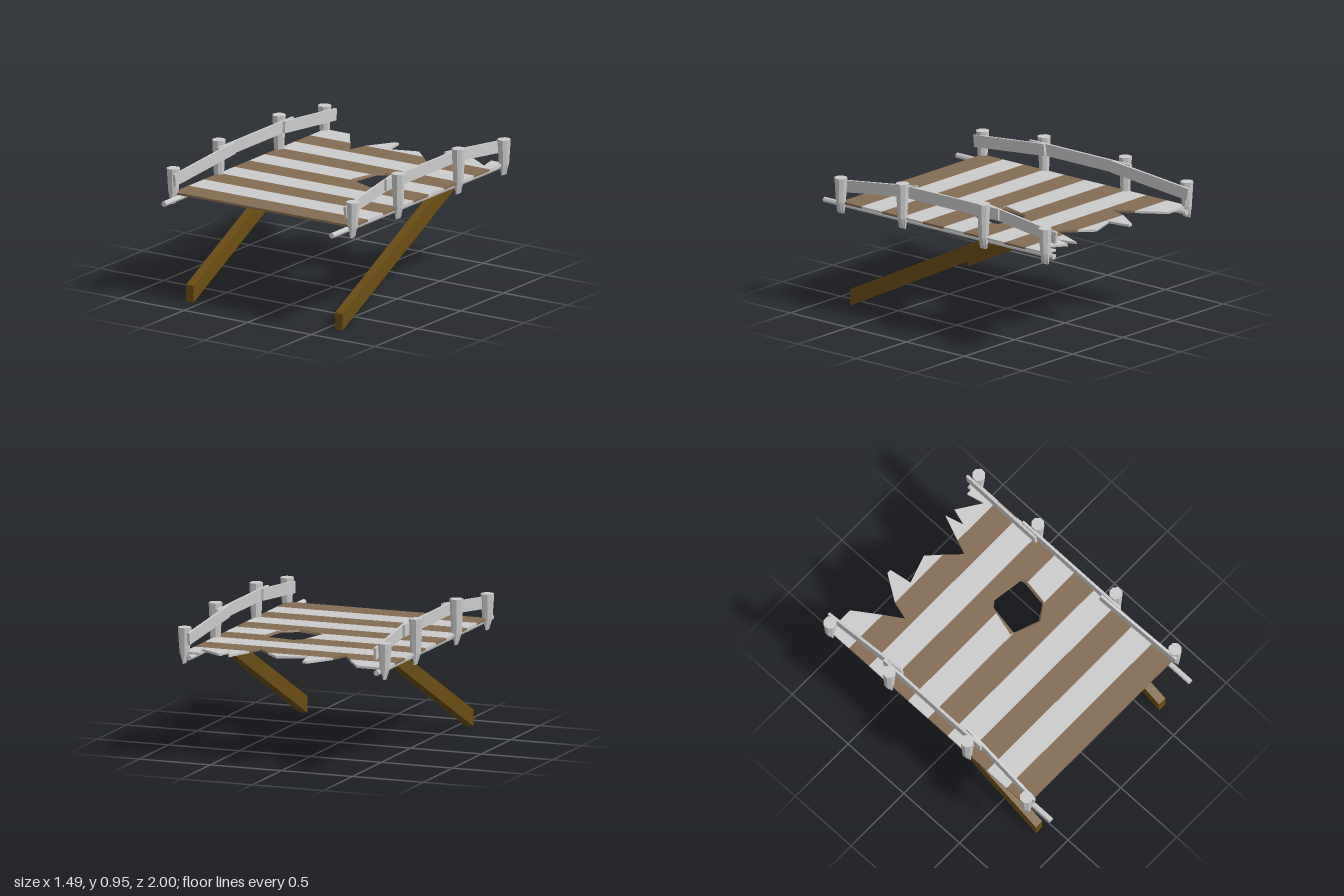
import * as THREE from 'three';

const mat = (color, side = THREE.FrontSide) =>
  new THREE.MeshStandardMaterial({ color, flatShading: true, side });

export function createModel() {
  const group = new THREE.Group();
  const grey = mat(0xcccccc);
  const brown = mat(0x856c52);
  const darkWood = mat(0x6b4d14);
  const add = (name, geometry, material) => {
    const mesh = new THREE.Mesh(geometry, material);
    mesh.name = name;
    group.add(mesh);
    return mesh;
  };

  // Deck planks: flat outlines in (x, z), extruded upward
  const W = 0.705, Y0 = 0.712, Y1 = 0.727;
  const z = Array.from({ length: 11 }, (_, i) => 0.82 - i * 0.1765);
  const plank = (i, points) => {
    const shape = new THREE.Shape(points.map(([x, pz]) => new THREE.Vector2(x, -pz)));
    const geo = new THREE.ExtrudeGeometry(shape, { depth: Y1 - Y0, bevelEnabled: false });
    geo.rotateX(-Math.PI / 2).translate(0, Y0, 0);
    add('deckPlank' + (i + 1), geo, i % 2 ? grey : brown);
  };
  // Whole planks
  for (const i of [0, 1, 2, 3, 7]) {
    plank(i, [[-W, z[i]], [W, z[i]], [W, z[i + 1]], [-W, z[i + 1]]]);
  }
  // Planks cut by the hole
  plank(4, [[-W, z[4]], [W, z[4]], [W, z[5]], [0.386, z[5]], [0.285, 0.01], [0.11, z[5]], [-W, z[5]]]);
  plank(5, [[-W, z[5]], [0.11, z[5]], [0.085, -0.07], [0.131, z[6]], [-W, z[6]]]);
  plank(5, [[W, z[5]], [W, z[6]], [0.426, z[6]], [0.4, -0.07], [0.386, z[5]]]);
  plank(6, [[-W, z[6]], [0.131, z[6]], [0.145, -0.285], [0.19, -0.32], [0.415, -0.29],
    [0.43, -0.265], [0.426, z[6]], [W, z[6]], [W, z[7]], [-W, z[7]]]);
  // Broken end
  plank(8, [[-W, z[8]], [W, z[8]], [W, z[9]], [0.323, z[9]], [0.285, -0.67], [0.187, z[9]],
    [-0.27, z[9]], [-0.305, -0.645], [-0.387, z[9]], [-W, z[9]]]);
  plank(9, [[-W, z[9]], [-0.387, z[9]], [-0.51, z[10]], [-W, z[10]]]);
  plank(9, [[-0.27, z[9]], [0.187, z[9]], [0.095, -0.855], [-0.1, -0.79], [-0.125, z[10]], [-0.155, z[10]]]);
  plank(9, [[0.323, z[9]], [W, z[9]], [W, z[10]], [0.6, z[10]], [0.63, -0.82], [0.465, -0.93],
    [0.43, -0.815], [0.395, z[10]]]);

  // Sloping rim of the hole
  const outer = [[0.085, -0.07], [0.145, -0.285], [0.19, -0.32], [0.415, -0.29], [0.43, -0.265], [0.4, -0.07], [0.285, 0.01]];
  const inner = [[0.113, -0.065], [0.15, -0.28], [0.19, -0.312], [0.402, -0.281], [0.412, -0.255], [0.386, -0.07], [0.285, -0.005]];
  const pos = [], idx = [];
  outer.forEach(([x, oz], i) => {
    const j = (i + 1) % outer.length;
    pos.push(x, Y1, oz, inner[i][0], Y0, inner[i][1]);
    idx.push(2 * i, 2 * j, 2 * i + 1, 2 * j, 2 * j + 1, 2 * i + 1);
  });
  const rim = new THREE.BufferGeometry();
  rim.setAttribute('position', new THREE.Float32BufferAttribute(pos, 3));
  rim.setIndex(idx);
  rim.computeVertexNormals();
  add('holeRim', rim, mat(0x856c52, THREE.DoubleSide));

  // Tapered eight-sided post whose foot is cut to a wedge
  const postGeometry = (top) => {
    const geo = new THREE.CylinderGeometry(1, 1, 2, 8, 2);
    geo.rotateY(Math.PI / 8);
    const p = geo.attributes.position;
    for (let i = 0; i < p.count; i++) {
      const level = Math.round(p.getY(i)) + 1;
      const r = [0.03, 0.034, 0.045][level];
      p.setXYZ(i, p.getX(i) * r * (level ? 1 : 0.25), [0.65, 0.725, top][level], p.getZ(i) * r);
    }
    geo.computeVertexNormals();
    return geo;
  };

  // Board between two centre points
  const board = (name, a, b) => {
    const from = new THREE.Vector3(...a), to = new THREE.Vector3(...b);
    const mesh = add(name, new THREE.BoxGeometry(0.018, 0.08, from.distanceTo(to)), grey);
    mesh.position.copy(from).add(to).multiplyScalar(0.5);
    mesh.lookAt(to);
  };

  for (const s of [1, -1]) {
    const side = s > 0 ? 'left' : 'right';

    // Railing posts
    [[0.82, 0.89], [0.29, 0.955], [-0.41, 0.955], [-0.94, 0.89]].forEach(([pz, top], i) => {
      add(side + 'Post' + (i + 1), postGeometry(top), grey).position.set(s * 0.705, 0, pz);
    });

    // Rails
    board(side + 'FrontRail', [s * 0.671, 0.82, 0.86], [s * 0.633, 0.892, 0.22]);
    board(side + 'MiddleRail', [s * 0.658, 0.886, 0.37], [s * 0.658, 0.886, -0.5]);
    board(side + 'BackRail', [s * 0.633, 0.892, -0.36], [s * 0.656, 0.823, -0.995]);

    // Long pole under the deck edge
    const pole = new THREE.CylinderGeometry(0.019, 0.019, 1.98, 8);
    pole.rotateX(Math.PI / 2);
    add(side + 'Pole', pole, grey).position.set(s * 0.66, 0.695, 0.01);

    // Slanted support beam, profile in (-z, y)
    const profile = new THREE.Shape([[-0.815, 0], [0.625, 0.712], [0.4, 0.712], [-0.815, 0.112]]
      .map(([u, v]) => new THREE.Vector2(u, v)));
    const beam = new THREE.ExtrudeGeometry(profile, { depth: 0.06, bevelEnabled: false });
    beam.rotateY(Math.PI / 2);
    add(side + 'Support', beam, darkWood).position.x = s * 0.585 - 0.025;
  }
  return group;
}
